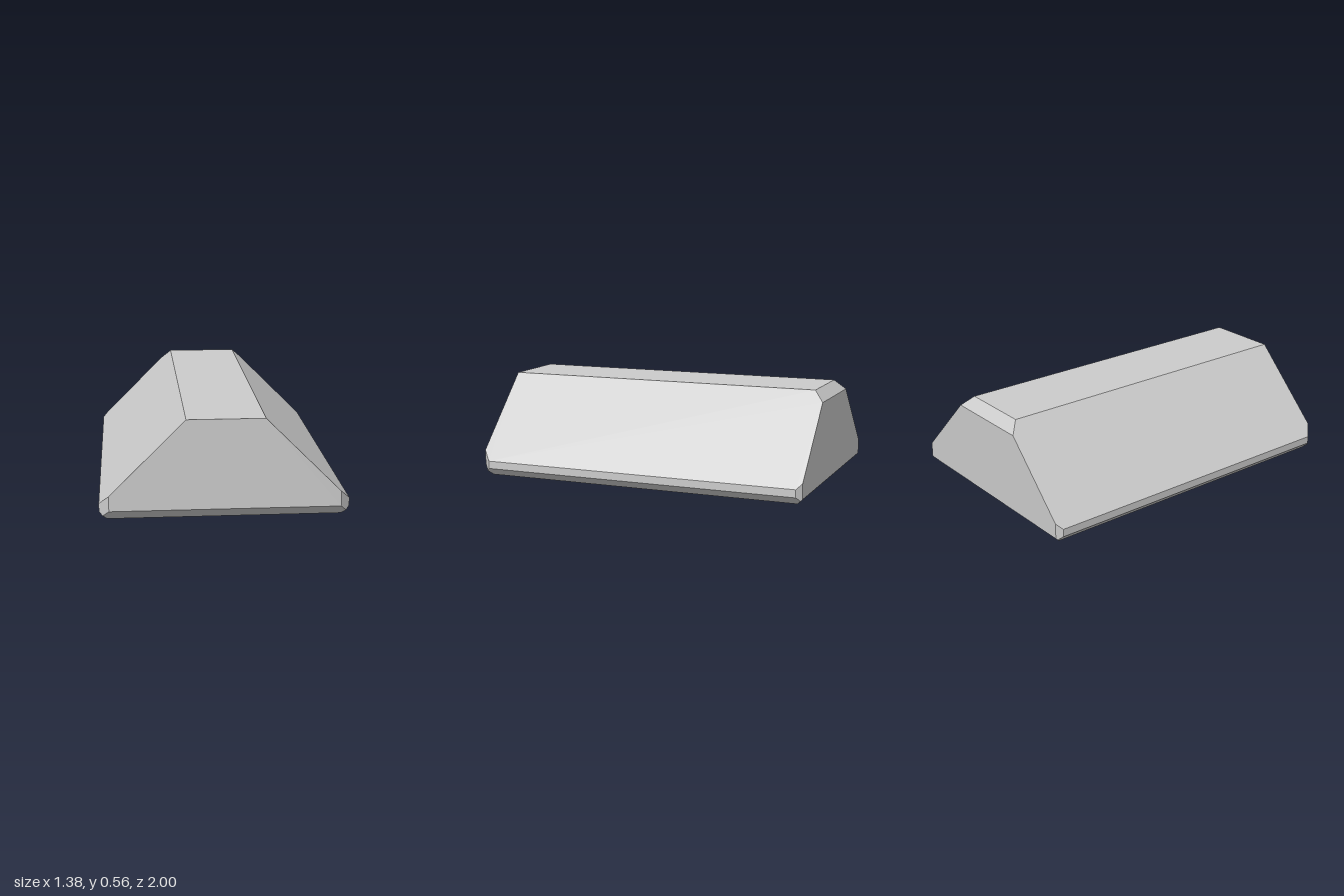
import * as THREE from 'three';
import { ConvexGeometry } from 'three/addons/geometries/ConvexGeometry.js';

export function createModel() {
  // Corners of the left half; each is mirrored across x = 0
  const corners = [
    // underside
    [0.645, 0, 0.94], [0.645, 0, -0.97],
    // flat side edge
    [0.69, 0.045, 0.945], [0.69, 0.09, 0.945],
    [0.69, 0.045, -0.97], [0.69, 0.09, -0.97],
    // front face and its large corner chamfer
    [0.67, 0.025, 0.965], [0.635, 0.06, 1], [0.635, 0.145, 1], [0.215, 0.565, 1],
    // back face and its small corner chamfer
    [0.6675, 0.0225, -0.9925], [0.66, 0.03, -1], [0.66, 0.12, -1],
    // bevel between top and back
    [0.275, 0.505, -1], [0.215, 0.565, -0.94],
  ];
  const points = corners.flatMap(([x, y, z]) =>
    [1, -1].map((side) => new THREE.Vector3(side * x, y, z)));

  const block = new THREE.Mesh(
    new ConvexGeometry(points),
    new THREE.MeshStandardMaterial({ color: 0xcccccc, flatShading: true }),
  );
  block.name = 'bevelledBlock';

  const group = new THREE.Group();
  group.name = 'trapezoidBlock';
  group.add(block);
  return group;
}
